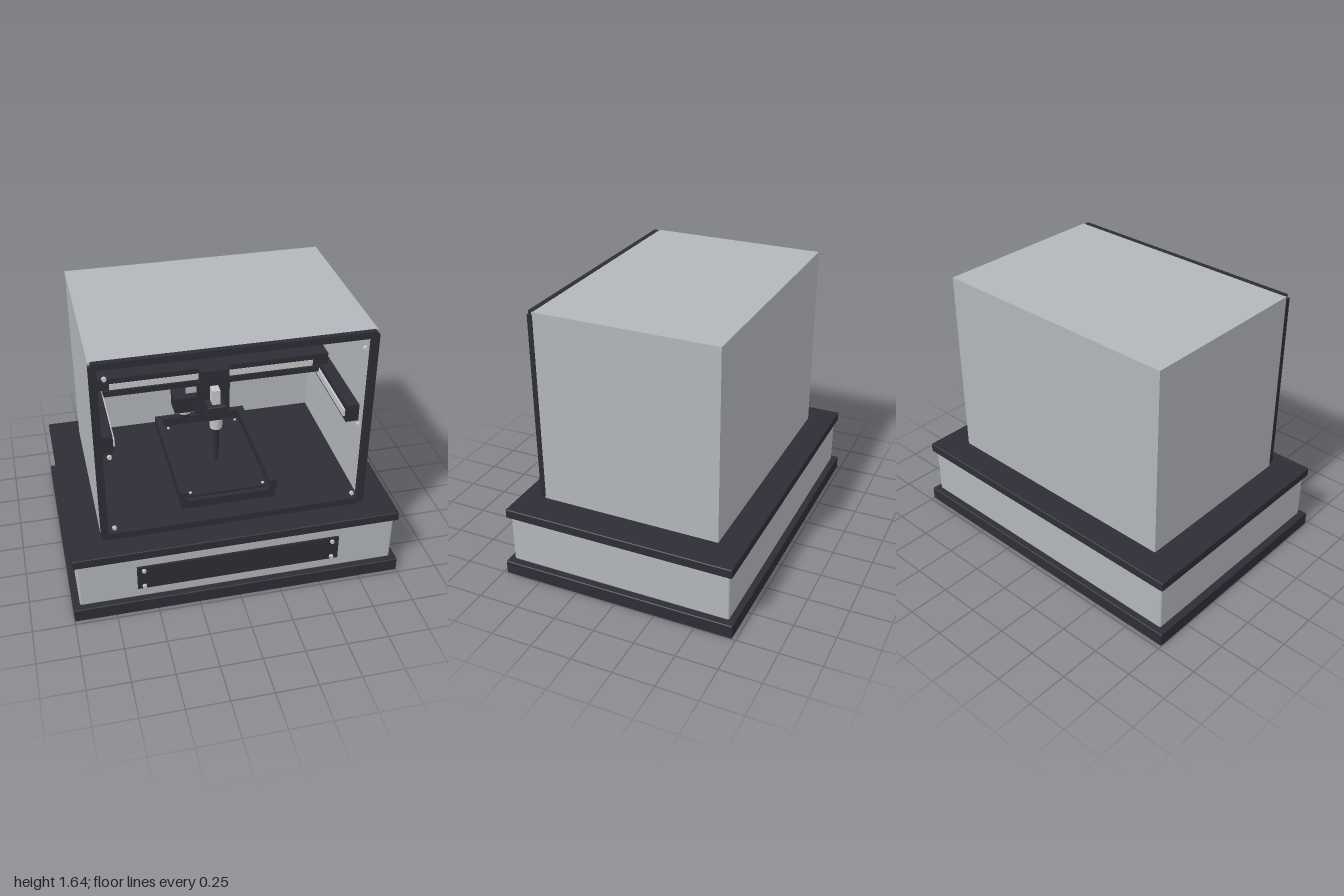
import * as THREE from 'three';
import { RoundedBoxGeometry } from 'three/addons/geometries/RoundedBoxGeometry.js';

const mat = (name, color) => new THREE.MeshStandardMaterial({ name, color });

export function createModel() {
  const model = new THREE.Group();
  model.name = 'enclosedMillingMachine';
  const dark = mat('charcoal', 0x2e2d36);
  const panel = mat('lightGrey', 0xb3b6ba);
  const metal = mat('metal', 0xc4c7ca);

  function add(parent, name, geometry, material) {
    const mesh = new THREE.Mesh(geometry, material);
    mesh.name = name;
    parent.add(mesh);
    return mesh;
  }
  // Box given by its limits on each axis, optionally with rounded edges
  function box(parent, name, material, [x0, x1], [y0, y1], [z0, z1], round = 0) {
    const size = [x1 - x0, y1 - y0, z1 - z0];
    const geometry = round ? new RoundedBoxGeometry(...size, 2, round) : new THREE.BoxGeometry(...size);
    const mesh = add(parent, name, geometry, material);
    mesh.position.set((x0 + x1) / 2, (y0 + y1) / 2, (z0 + z1) / 2);
    return mesh;
  }
  // Upright cylinder or cone between two heights
  function rod(parent, name, material, x, z, y0, y1, rBottom, rTop = rBottom) {
    const mesh = add(parent, name, new THREE.CylinderGeometry(rTop, rBottom, y1 - y0, 24), material);
    mesh.position.set(x, (y0 + y1) / 2, z);
    return mesh;
  }
  // Screw head facing the front
  function screw(parent, x, y, z) {
    const mesh = add(parent, 'screw', new THREE.CylinderGeometry(0.012, 0.014, 0.014, 16), metal);
    mesh.rotation.x = Math.PI / 2;
    mesh.position.set(x, y, z);
  }
  function group(name) {
    const g = new THREE.Group();
    g.name = name;
    model.add(g);
    return g;
  }
  // Ordered x limits for a part mirrored to either side
  const side = (s, a, b) => (s > 0 ? [a, b] : [-b, -a]);

  // Pedestal
  const base = group('pedestal');
  box(base, 'basePlate', dark, [-1, 1], [0, 0.085], [-0.728, 0.728], 0.006);
  box(base, 'baseBody', panel, [-0.96, 0.96], [0.085, 0.39], [-0.692, 0.692], 0.012);
  box(base, 'deck', dark, [-0.982, 0.982], [0.388, 0.445], [-0.712, 0.712], 0.006);
  box(base, 'frontPlate', dark, [-0.615, 0.612], [0.16, 0.32], [0.69, 0.706]);
  for (const x of [-0.575, 0.57]) for (const y of [0.18, 0.296]) screw(base, x, y, 0.711);

  // Cabinet with an open front
  const cabinet = group('cabinet');
  box(cabinet, 'floor', dark, [-0.787, 0.787], [0.457, 0.469], [-0.545, 0.55]);
  box(cabinet, 'roof', panel, [-0.793, 0.793], [1.625, 1.637], [-0.553, 0.553]);
  box(cabinet, 'backWall', panel, [-0.793, 0.793], [0.457, 1.626], [-0.553, -0.541]);
  for (const s of [-1, 1]) {
    box(cabinet, 'sideWall', panel, side(s, 0.781, 0.793), [0.457, 1.626], [-0.542, 0.553]);
    box(cabinet, 'frameUpright', dark, side(s, 0.752, 0.795), [0.475, 1.62], [0.55, 0.582]);
    for (const y of [0.545, 1.045, 1.545]) screw(cabinet, s * 0.716, y, 0.585);
  }
  box(cabinet, 'frameTop', dark, [-0.78, 0.78], [1.598, 1.639], [0.55, 0.582]);
  box(cabinet, 'frameBottom', dark, [-0.775, 0.775], [0.458, 0.5], [0.55, 0.582]);

  // Rails along the side walls
  const gantry = group('gantry');
  for (const s of [-1, 1]) {
    box(gantry, 'sideRail', dark, side(s, 0.68, 0.757), [0.997, 1.105], [-0.48, 0.48]);
    box(gantry, 'sideRailStrip', metal, side(s, 0.668, 0.681), [1.025, 1.07], [-0.46, 0.46]);
    box(gantry, 'beamEnd', dark, side(s, 0.63, 0.725), [1.105, 1.18], [-0.18, -0.005]);
  }

  // Cross beam with its guide strip
  box(gantry, 'beamCore', dark, [-0.67, 0.67], [1.058, 1.178], [-0.175, -0.03]);
  box(gantry, 'beamTopLip', dark, [-0.63, 0.63], [1.145, 1.18], [-0.18, -0.005]);
  box(gantry, 'beamBottomLip', dark, [-0.67, 0.67], [1.057, 1.095], [-0.18, -0.005]);
  box(gantry, 'beamStrip', metal, [-0.63, 0.63], [1.1, 1.14], [-0.031, -0.01]);

  // Tool carriage and spindle
  const tool = group('toolCarriage');
  box(tool, 'carriageBack', dark, [-0.098, 0.098], [0.825, 1.09], [-0.11, 0.02]);
  box(tool, 'carriageCap', dark, [-0.088, 0.088], [1.09, 1.182], [-0.1, 0.05]);
  box(tool, 'spindleMotor', metal, [-0.025, 0.025], [0.96, 1.062], [0.015, 0.085]);
  box(tool, 'spindleClamp', dark, [-0.055, 0.055], [0.87, 0.965], [0.015, 0.115], 0.006);
  rod(tool, 'spindleCollar', metal, 0, 0.072, 0.797, 0.87, 0.038, 0.042);
  rod(tool, 'spindleShaft', dark, 0, 0.072, 0.615, 0.8, 0.017, 0.021);
  rod(tool, 'toolTip', dark, 0, 0.072, 0.575, 0.617, 0.009);
  rod(tool, 'toolBall', dark, 0, 0.072, 0.555, 0.59, 0.013);

  // Inspection camera beside the spindle
  const camera = group('inspectionCamera');
  box(camera, 'cameraBracket', panel, [-0.165, -0.095], [1.0, 1.052], [-0.035, -0.025]);
  box(camera, 'cameraBody', dark, [-0.245, -0.107], [0.897, 1.0], [-0.1, 0.025]);
  rod(camera, 'cameraRing', metal, -0.175, -0.037, 0.867, 0.898, 0.044, 0.05);
  rod(camera, 'cameraLens', dark, -0.175, -0.037, 0.83, 0.868, 0.03, 0.035);

  // Work table
  const table = group('workTable');
  box(table, 'tableBase', dark, [-0.288, 0.288], [0.469, 0.525], [-0.415, 0.415]);
  box(table, 'tableTop', dark, [-0.245, 0.245], [0.525, 0.54], [-0.37, 0.385]);
  box(table, 'tableBackBar', dark, [-0.25, 0.25], [0.525, 0.593], [-0.42, -0.375]);
  for (const s of [-1, 1]) {
    box(table, 'tableRail', dark, side(s, 0.255, 0.298), [0.525, 0.593], [-0.42, 0.42]);
    for (const z of [-0.34, 0.36]) rod(table, 'tableScrew', metal, s * 0.225, z, 0.54, 0.546, 0.009);
  }
  return model;
}
